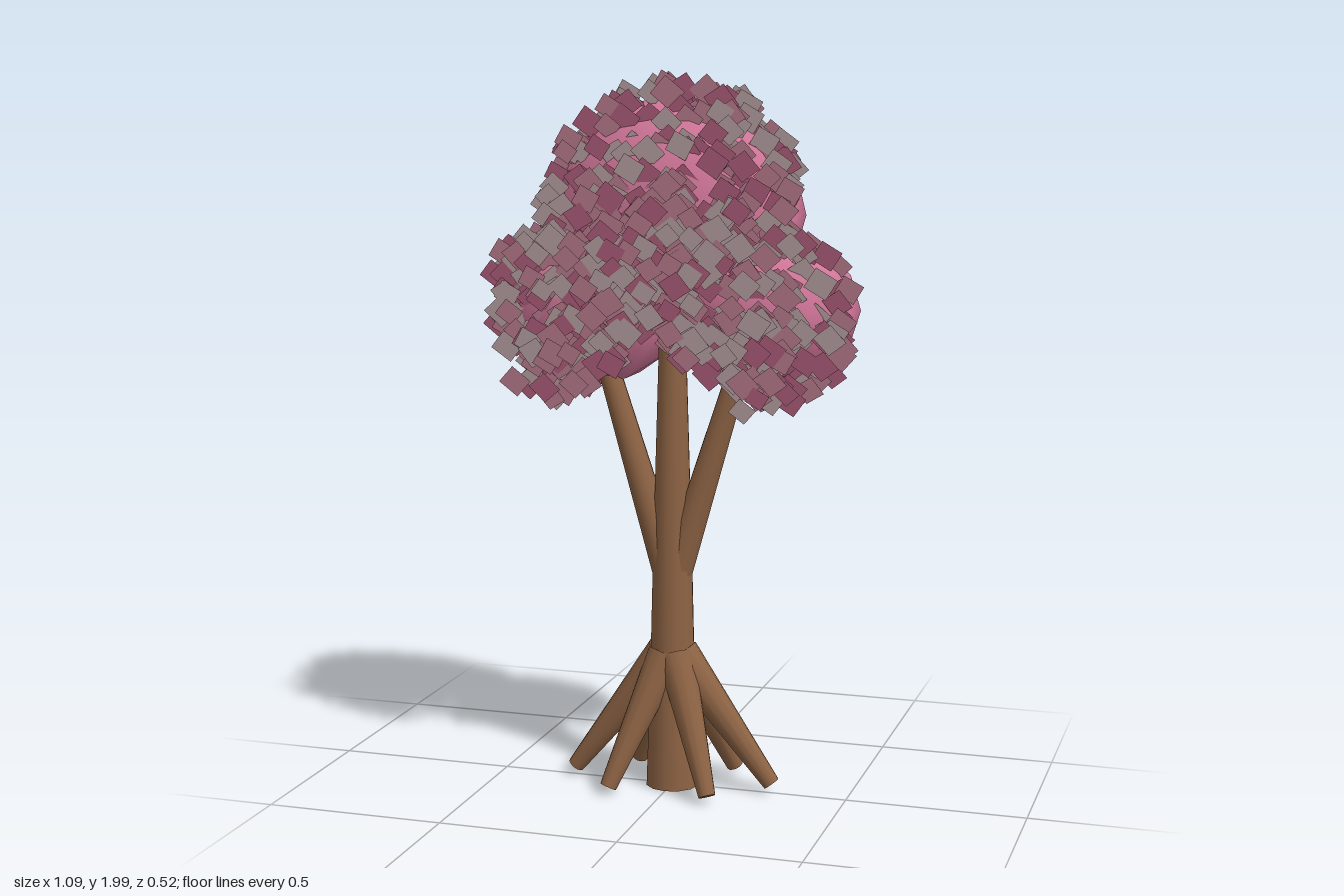
import * as THREE from 'three';
import { mergeGeometries, mergeVertices } from 'three/addons/utils/BufferGeometryUtils.js';

const mat = (name, color, side = THREE.FrontSide) => {
  const m = new THREE.MeshStandardMaterial({ color, side });
  m.name = name;
  return m;
};

// Small seeded generator for the scattered petals
function seeded(seed) {
  return () => {
    seed = (seed * 1664525 + 1013904223) >>> 0;
    return seed / 4294967296;
  };
}

// Smooth low-poly ball with a vertex at the pole
function ballGeometry() {
  let g = new THREE.IcosahedronGeometry(1, 1);
  g.deleteAttribute('uv');
  g.deleteAttribute('normal');
  g = mergeVertices(g, 1e-4);
  g.rotateX(-Math.atan((1 + Math.sqrt(5)) / 2));
  g.rotateY(Math.PI / 2);
  g.computeVertexNormals();
  return g;
}

// Tapered limb between two points
function limb(name, a, b, ra, rb, material) {
  const from = new THREE.Vector3(...a), to = new THREE.Vector3(...b);
  const dir = to.clone().sub(from);
  const mesh = new THREE.Mesh(new THREE.CylinderGeometry(rb, ra, dir.length(), 12), material);
  mesh.position.copy(from).add(to).multiplyScalar(0.5);
  mesh.quaternion.setFromUnitVectors(new THREE.Vector3(0, 1, 0), dir.normalize());
  mesh.name = name;
  return mesh;
}

export function createModel() {
  const tree = new THREE.Group();
  tree.name = 'blossomTree';
  const bark = mat('bark brown', 0x8d6344);
  const blossom = mat('blossom pink', 0xd4789b);
  const petalMats = [
    mat('deep pink petal', 0xca6d8f, THREE.DoubleSide),
    mat('dusty pink petal', 0xd690a4, THREE.DoubleSide),
    mat('pale petal', 0xd6babc, THREE.DoubleSide),
  ];

  // Trunk
  tree.add(limb('trunkBase', [0, 0, 0], [0, 0.4, 0], 0.075, 0.062, bark));
  tree.add(limb('trunkMiddle', [0, 0.4, 0], [0, 0.65, 0], 0.062, 0.056, bark));
  tree.add(limb('trunkTop', [0, 0.65, 0], [0, 1.3, 0], 0.056, 0.037, bark));

  // Branches and roots
  for (const s of [-1, 1]) {
    tree.add(limb('branch', [s * 0.01, 0.61, 0], [s * 0.21, 1.26, 0], 0.046, 0.028, bark));
    tree.add(limb('sideRoot', [s * 0.02, 0.38, 0], [s * 0.288, 0.027, 0], 0.056, 0.024, bark));
    for (const t of [-1, 1]) {
      tree.add(limb('cornerRoot', [s * 0.014, 0.38, t * 0.014], [s * 0.143, 0.022, t * 0.145], 0.054, 0.024, bark));
    }
  }

  // Crown: one tall ball over two smaller ones
  const balls = [
    { name: 'upperCrown', x: 0, y: 1.6, rx: 0.36, ry: 0.335 },
    { name: 'leftCrown', x: 0.245, y: 1.345, rx: 0.265, ry: 0.228 },
    { name: 'rightCrown', x: -0.245, y: 1.345, rx: 0.265, ry: 0.228 },
  ];
  const ball = ballGeometry();
  for (const b of balls) {
    const mesh = new THREE.Mesh(ball, blossom);
    mesh.name = b.name;
    mesh.position.set(b.x, b.y, -0.057);
    mesh.scale.set(b.rx, b.ry, 0.207);
    tree.add(mesh);
  }

  // Petals: flat squares tipped downward, spread over the front of the crown
  const rnd = seeded(11);
  const petals = [[], [], []];
  const addPetal = (x, y, z) => {
    const size = 0.05 + 0.02 * rnd();
    const g = new THREE.PlaneGeometry(size, size);
    g.rotateZ(Math.PI / 4 + (rnd() - 0.5) * 0.5);
    g.rotateX(0.31);
    g.translate(x, y, z);
    petals[Math.floor(rnd() * 3)].push(g);
  };
  // Crown outline: the balls, filled shoulders, and a notch above the trunk
  const inside = (x, y) => {
    if (y < 1.3 - 0.8 * Math.abs(x)) return false;
    if (y > 1.5 && y < 1.68 && Math.abs(x) < 0.42 - 0.45 * (y - 1.5)) return true;
    return balls.some(
      (b) => ((x - b.x) / (b.rx + 0.004)) ** 2 + ((y - b.y) / (b.ry + 0.02)) ** 2 < 1);
  };
  let count = 0;
  while (count < 800) {
    const x = (rnd() - 0.5) * 1.04, y = 1.1 + 0.86 * rnd();
    if (!inside(x, y)) continue;
    const rise = Math.max(0, y - 1.35);
    const depth = 0.08 + 0.14 * rise + 0.12 * Math.abs(x);
    const z = 0.2 - 0.75 * x * x - 0.68 * rise * rise + (rnd() - 0.5) * depth;
    addPetal(x, y, z);
    count++;
  }
  // Loose petals over the top and back of the upper crown
  for (let i = 0; i < 30; i++) {
    const a = rnd() * Math.PI * 2, r = 0.92 * Math.sqrt(rnd());
    const x = r * Math.cos(a), z = -Math.abs(r * Math.sin(a));
    addPetal(0.34 * x, 1.6 + 0.345 * Math.sqrt(1 - r * r), -0.045 + 0.207 * z);
  }
  petals.forEach((list, i) => {
    const mesh = new THREE.Mesh(mergeGeometries(list), petalMats[i]);
    mesh.name = ['deepPetals', 'dustyPetals', 'palePetals'][i];
    tree.add(mesh);
  });
  return tree;
}
